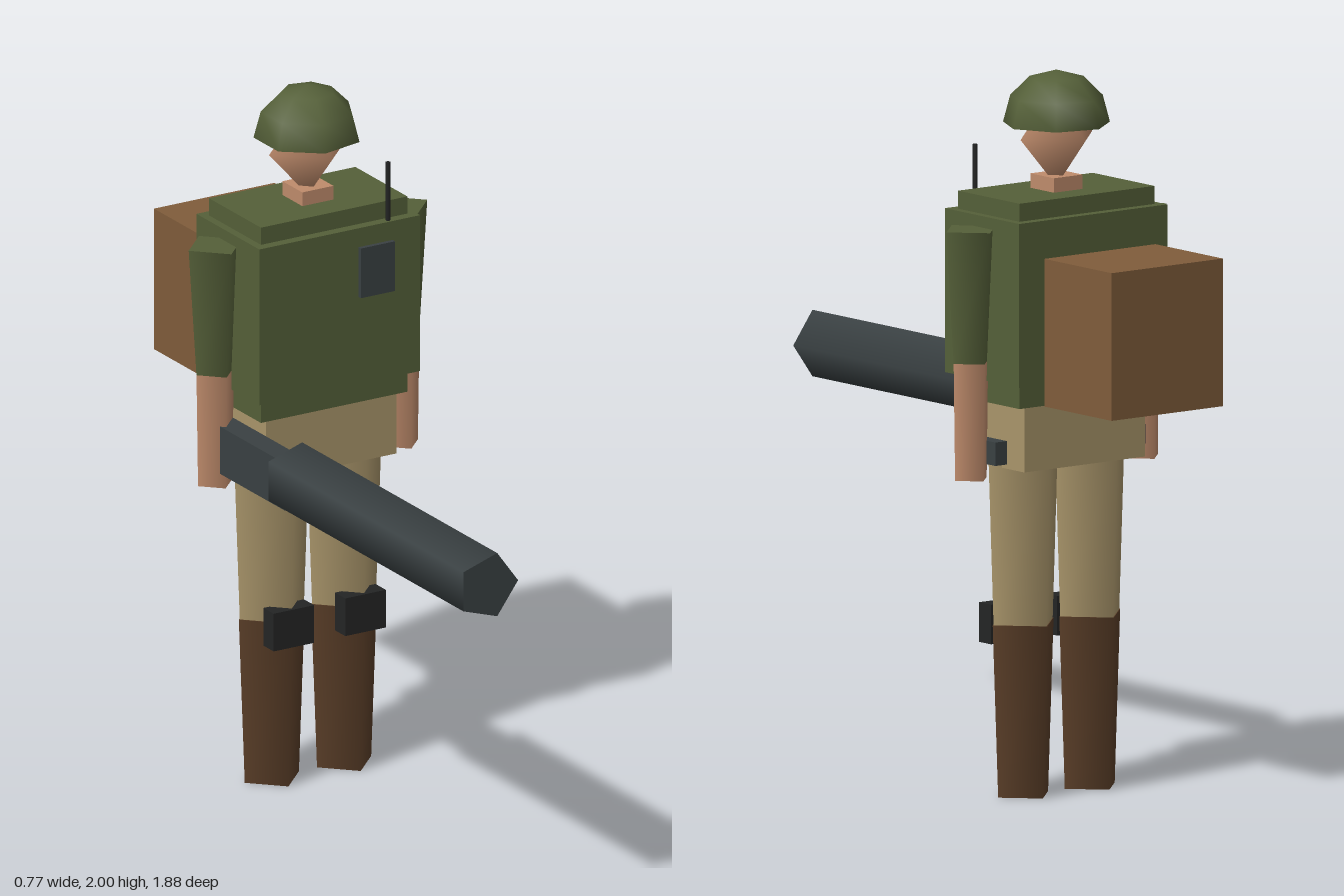
import * as THREE from 'three';

const mat = (name, color, side = THREE.FrontSide) => {
  const m = new THREE.MeshStandardMaterial({ color, side });
  m.name = name;
  return m;
};

export function createModel() {
  const olive = mat('olive', 0x556039, THREE.DoubleSide);
  const skin = mat('skin', 0xc08c6c);
  const khaki = mat('khaki', 0xaa966b);
  const leather = mat('boot brown', 0x5a3e28);
  const canvas = mat('pack brown', 0x805d3b);
  const gunmetal = mat('gunmetal', 0x3a4143);
  const black = mat('black', 0x242525);

  const model = new THREE.Group();
  model.name = 'soldier';
  const Z = -0.452; // body centre line

  const add = (name, geometry, material, x = 0, y = 0, z = 0) => {
    const mesh = new THREE.Mesh(geometry, material);
    mesh.name = name;
    mesh.position.set(x, y, z);
    model.add(mesh);
    return mesh;
  };
  // box from its lowest to its highest corner
  const box = (name, material, [x0, y0, z0], [x1, y1, z1]) =>
    add(name, new THREE.BoxGeometry(x1 - x0, y1 - y0, z1 - z0), material,
      (x0 + x1) / 2, (y0 + y1) / 2, (z0 + z1) / 2);
  // four-sided tapered limb section
  const limb = (name, material, x, y0, y1, rBottom, rTop) =>
    add(name, new THREE.CylinderGeometry(rTop, rBottom, y1 - y0, 4), material, x, (y0 + y1) / 2, Z);

  // torso, vest and hips
  box('torso', olive, [-0.235, 1.1, -0.587], [0.235, 1.67, -0.315]);
  box('vest', olive, [-0.258, 1.165, -0.615], [0.258, 1.62, -0.286]);
  box('hips', khaki, [-0.21, 0.92, -0.577], [0.21, 1.1, -0.33]);

  // neck, head and helmet shell
  box('neck', skin, [-0.05, 1.66, Z - 0.052], [0.05, 1.71, Z + 0.052]);
  add('head', new THREE.SphereGeometry(0.125, 4, 2), skin, 0, 1.817, Z).scale.y = 1.12;
  add('helmet', new THREE.SphereGeometry(0.15, 7, 3, 0, Math.PI * 2, 0, Math.PI / 2), olive, 0, 1.85, Z)
    .rotation.y = Math.PI;

  // arms and legs
  for (const [side, s] of [['left', 1], ['right', -1]]) {
    limb(side + 'Sleeve', olive, s * 0.298, 1.22, 1.588, 0.06, 0.085);
    limb(side + 'Forearm', skin, s * 0.298, 0.895, 1.22, 0.055, 0.06);
    limb(side + 'Trouser', khaki, s * 0.116, 0.48, 0.93, 0.103, 0.12);
    limb(side + 'Boot', leather, s * 0.116, 0, 0.48, 0.087, 0.106);
    const x = s * 0.115;
    box(side + 'KneePad', black, [x - 0.065, 0.415, -0.392], [x + 0.065, 0.525, -0.338]);
  }

  // chest radio with antenna
  box('radio', gunmetal, [0.06, 1.42, -0.3], [0.17, 1.565, -0.273]);
  add('antenna', new THREE.CylinderGeometry(0.007, 0.007, 0.29, 5), black, 0.163, 1.645, -0.299);

  // backpack and hip holster
  box('backpack', canvas, [-0.195, 1.11, -0.94], [0.192, 1.52, -0.642]);
  box('holster', gunmetal, [0.2, 0.932, -0.5], [0.25, 0.997, -0.405]);

  // heavy weapon held in the right hand
  box('weaponStock', gunmetal, [-0.31, 0.937, -0.49], [-0.243, 1.075, -0.07]);
  const barrel = new THREE.CylinderGeometry(0.097, 0.097, 1.02, 5);
  barrel.rotateY(Math.PI / 2).rotateX(Math.PI / 2);
  add('weaponBarrel', barrel, gunmetal, -0.277, 1.028, 0.43);

  return model;
}
